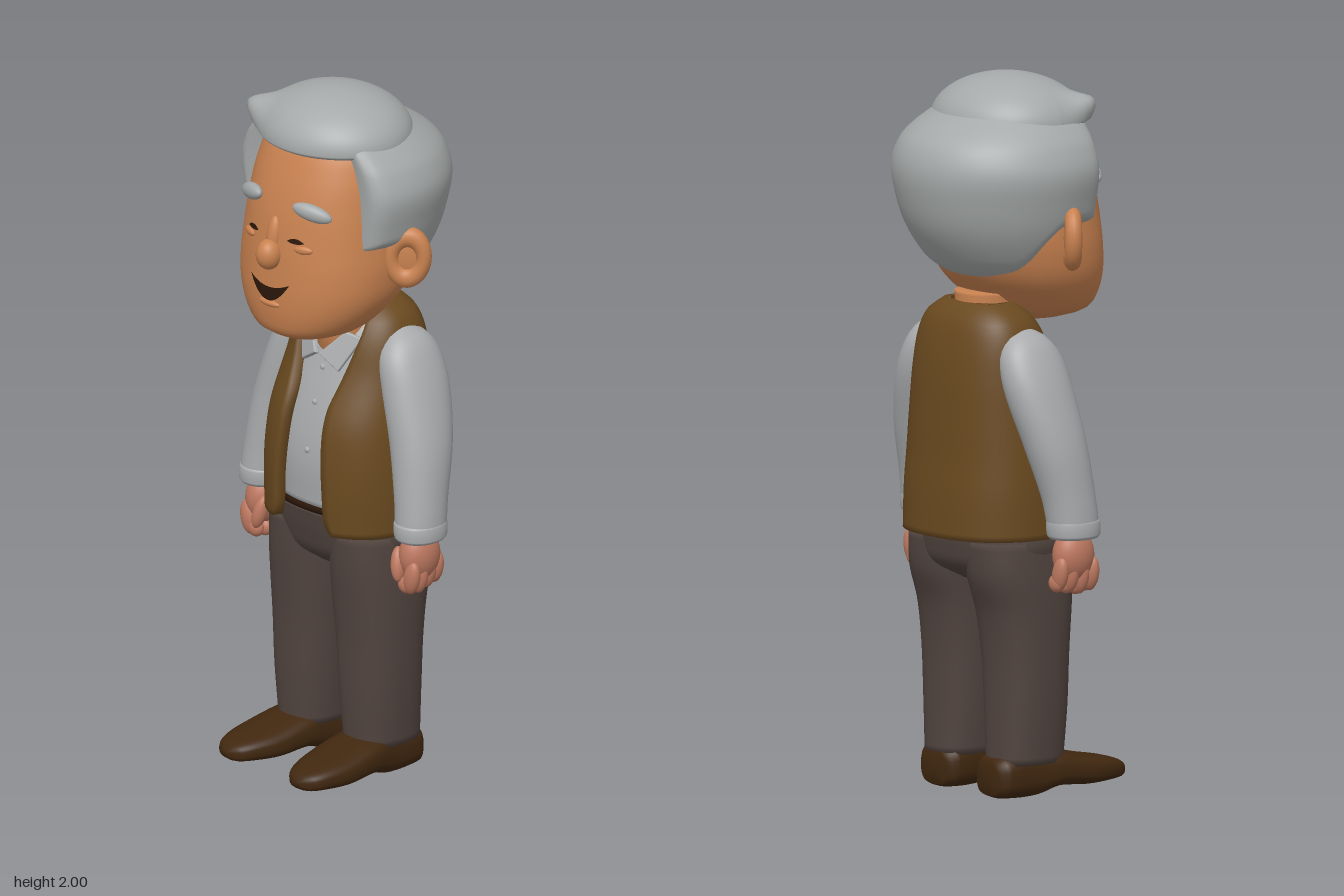
import * as THREE from 'three';

const mat = (name, color, extra = {}) => {
  const m = new THREE.MeshStandardMaterial({ color, ...extra });
  m.name = name;
  return m;
};

// Smooth interpolation of table rows, keyed by their first column
function at(T, y) {
  let i = 0;
  while (i < T.length - 2 && y > T[i + 1][0]) i++;
  const a = T[i], b = T[i + 1], h = b[0] - a[0];
  const t = Math.min(1, Math.max(0, (y - a[0]) / h)), t2 = t * t, t3 = t2 * t;
  const slope = (k, c) => {
    const p = T[Math.max(0, k - 1)], q = T[Math.min(T.length - 1, k + 1)];
    return (q[c] - p[c]) / (q[0] - p[0]);
  };
  return a.map((_, c) => c === 0 ? y : (2 * t3 - 3 * t2 + 1) * a[c] + (3 * t2 - 2 * t3) * b[c]
    + h * ((t3 - 2 * t2 + t) * slope(i, c) + (t3 - t2) * slope(i + 1, c)));
}

// Skin a list of rings; closed rings may be capped at both ends
function skin(rings, closed = true, capped = true) {
  const n = rings[0].length, pos = rings.flat(2), idx = [];
  const m = closed ? n : n - 1;
  for (let i = 0; i < rings.length - 1; i++) {
    for (let j = 0; j < m; j++) {
      const a = i * n + j, b = i * n + (j + 1) % n;
      idx.push(a, b, b + n, a, b + n, a + n);
    }
  }
  if (capped) {
    [0, rings.length - 1].forEach((r, end) => {
      const c = pos.length / 3;
      pos.push(...[0, 1, 2].map(k => rings[r].reduce((s, p) => s + p[k], 0) / n));
      for (let j = 0; j < n; j++) {
        const a = r * n + j, b = r * n + (j + 1) % n;
        idx.push(...(end ? [c, a, b] : [c, b, a]));
      }
    });
  }
  const g = new THREE.BufferGeometry();
  g.setAttribute('position', new THREE.Float32BufferAttribute(pos, 3));
  g.setIndex(idx);
  g.computeVertexNormals();
  return g;
}

const pw = (v, e) => Math.sign(v) * Math.abs(v) ** e;
const range = (n, f) => Array.from({ length: n }, (_, i) => f(i));

// Upright body from rows [y, centreX, halfWidth, frontZ, backZ]
const ringPoint = ([y, cx, rx, zf, zb], a, p, side = 1) =>
  [cx * side + rx * pw(Math.sin(a), 2 / p), y, (zf + zb) / 2 + (zf - zb) / 2 * pw(Math.cos(a), 2 / p)];
function loft(T, p = 2.2, side = 1, n = 48, rows = 32) {
  const y0 = T[0][0], y1 = T[T.length - 1][0];
  return skin(range(rows + 1, i => {
    const s = at(T, y0 + (y1 - y0) * i / rows);
    return range(n, j => ringPoint(s, j / n * Math.PI * 2, p, side));
  }));
}

const HEAD = [[1.31, 0, .07, .2, .04], [1.33, 0, .135, .25, -.02], [1.37, 0, .185, .268, -.07],
  [1.44, 0, .228, .274, -.14], [1.52, 0, .243, .27, -.18], [1.6, 0, .24, .262, -.2],
  [1.7, 0, .23, .245, -.2], [1.8, 0, .215, .213, -.18], [1.88, 0, .185, .17, -.15], [1.94, 0, .1, .1, -.1]];
const SHIRT = [[.785, 0, .205, .125, -.215], [.92, 0, .205, .13, -.215], [1.05, 0, .195, .108, -.21],
  [1.2, 0, .175, .06, -.2], [1.28, 0, .15, .025, -.18], [1.34, 0, .1, -.02, -.15]];
const VEST = [[.73, 0, .245, .165, -.262], [.85, 0, .245, .168, -.258], [.95, 0, .24, .163, -.25],
  [1.05, 0, .23, .145, -.245], [1.18, 0, .212, .09, -.235], [1.28, 0, .195, .055, -.218],
  [1.34, 0, .165, .02, -.195], [1.375, 0, .115, -.02, -.16]];
const OPENING = [[.73, .115], [.76, .097], [.85, .09], [1.08, .076], [1.16, .09], [1.3, .115], [1.375, .1]];
const HAIR = [[1.44, .18, .16], [1.5, .225, .22], [1.58, .265, .275], [1.66, .288, .304],
  [1.75, .302, .316], [1.82, .278, .295], [1.86, .245, .255], [1.9, .2, .19]];
const SHOE = [[-.145, .05, .01, .1], [-.12, .075, 0, .12], [-.01, .08, 0, .13], [.06, .088, .02, .122],
  [.16, .088, .016, .1], [.24, .07, .02, .085], [.285, .045, .025, .07], [.3, .015, .035, .055]];

const frontZ = (T, x, y, p) => {
  const [, , rx, zf, zb] = at(T, y);
  return (zf + zb) / 2 + (zf - zb) / 2 * (1 - Math.min(1, Math.abs(x) / rx) ** p) ** (1 / p);
};
const faceZ = (x, y) => frontZ(HEAD, x, y, 2.2);

// Thin patch hugging the face between two edge curves
function facePatch(cx, half, top, bottom) {
  const g = new THREE.PlaneGeometry(2, 1, 20, 6), P = g.attributes.position;
  for (let i = 0; i < P.count; i++) {
    const u = P.getX(i), v = P.getY(i) + .5, x = cx + u * half;
    const y = bottom(u) + (top(u) - bottom(u)) * v;
    P.setXYZ(i, x, y, faceZ(x, y) + .005);
  }
  g.computeVertexNormals();
  return g;
}

export function createModel() {
  const root = new THREE.Group();
  const skinM = mat('face skin', 0xc98250), handM = mat('hand skin', 0xbd7860);
  const hairM = mat('grey hair', 0xa6a9a9), shirtM = mat('pale shirt', 0xa9abad);
  const vestM = mat('brown vest', 0x69491f), pantsM = mat('dark trousers', 0x51443f);
  const shoeM = mat('shoe leather', 0x40270f), darkM = mat('dark brown', 0x2a1608, { side: THREE.DoubleSide });

  const add = (name, geo, m, pos = [0, 0, 0], rot = [0, 0, 0], parent = root) => {
    const mesh = new THREE.Mesh(geo, m);
    mesh.name = name;
    mesh.position.set(...pos);
    mesh.rotation.set(...rot);
    parent.add(mesh);
    return mesh;
  };
  const blob = (name, m, r, pos, rot) => add(name, new THREE.SphereGeometry(1, 28, 18).scale(...r), m, pos, rot);

  // Head and neck
  add('head', loft(HEAD, 2.2, 1, 64, 48), skinM);
  add('neck', loft([[1.18, 0, .08, .04, -.14], [1.28, 0, .085, .066, -.15], [1.4, 0, .09, .07, -.15]]), skinM);
  blob('nose', skinM, [.036, .044, .038], [0, 1.572, .274]);
  blob('noseBridge', skinM, [.022, .06, .02], [0, 1.62, .255], [-.15, 0, 0]);
  add('mouth', facePatch(0, .075, u => 1.477 + .02 * u * u, u => 1.437 + .06 * u * u), darkM);
  blob('lowerLip', skinM, [.04, .011, .014], [0, 1.428, .27]);

  // Hair around the sides and back, rolled in at its edges
  const maxT = 122 * Math.PI / 180, U = 72, V = 32;
  add('sideAndBackHair', skin(range(V + 1, i => range(U + 1, j => {
    const th = maxT * (1 - 2 * j / U), deg = Math.abs(th) * 180 / Math.PI, v = i / V;
    const k = Math.min(1, Math.max(0, (deg - 55) / 38));
    const low = 1.44 + .15 * k * k * (3 - 2 * k);
    const y = low + (1.9 - low) * v;
    const [, rx, rb] = at(HAIR, y);
    const d = Math.min(1, (122 - deg) / 16, v / .13);
    const s = .74 + .26 * Math.sqrt(1 - (1 - d) ** 2);
    const c = Math.cos(th);
    return [rx * Math.sin(th) * s, y, -(c > 0 ? rb : .3) * c * s];
  })), false, false), hairM);

  // Swept top hair with a small flick on the right
  const top = new THREE.SphereGeometry(1, 64, 40), P = top.attributes.position;
  for (let i = 0; i < P.count; i++) {
    const y = P.getY(i);
    const p = [P.getX(i) * .225, 1.87 + y * (y > 0 ? .13 : .035), .015 + P.getZ(i) * .205];
    const w = Math.exp(-((p[0] + .175) ** 2 + (p[1] - 1.9) ** 2 + (p[2] - .12) ** 2) / .0022);
    P.setXYZ(i, p[0] - .036 * w, p[1] + .03 * w, p[2] + .022 * w);
  }
  top.computeVertexNormals();
  add('topHair', top, hairM);

  // Shirt body, belt and hips
  add('shirt', loft(SHIRT, 2.4), shirtM);
  for (const y of [1.18, 1.085, .95]) blob('shirtButton', shirtM, [.009, .009, .006], [0, y, frontZ(SHIRT, 0, y, 2.4)]);
  add('belt', loft([[.772, 0, .214, .136, -.22], [.79, 0, .214, .136, -.22]], 2.4, 1, 48, 1), darkM);
  add('hips', loft([[.6, 0, .1, .05, -.13], [.64, 0, .2, .1, -.195], [.7, 0, .235, .122, -.216],
    [.775, 0, .222, .138, -.222]], 2.4), pantsM);

  // Open vest with thickness
  const M = 64, R = 40;
  add('vest', skin(range(R + 3, r => {
    const i = Math.min(R, Math.max(0, r - 1)), y = .73 + .645 * i / R;
    const s = at(VEST, y), open = at(OPENING, y)[1];
    const a0 = Math.asin(Math.min(.95, (open / s[2]) ** 1.2));
    const edge = r === 0 || r === R + 2;
    const layer = inset => range(M + 1, j =>
      ringPoint([y, 0, s[2] - inset, s[3] - inset, s[4] + inset], a0 + (2 * Math.PI - 2 * a0) * j / M, 2.4));
    return [...layer(edge ? .014 : 0), ...layer(edge ? .015 : .028).reverse()];
  }), true, false), vestM);

  for (const s of [1, -1]) {
    const side = s > 0 ? 'left' : 'right';
    // Face details
    blob(side + 'Eyebrow', hairM, [.06, .024, .02], [s * .118, 1.712, faceZ(.118, 1.712) + .006], [0, s * .4, -s * .22]);
    add(side + 'Eye', facePatch(s * .082, .026, u => 1.633 - .01 * u * u, u => 1.618 + .005 * u * u), darkM);
    blob(side + 'EyePouch', skinM, [.028, .012, .009], [s * .105, 1.603, faceZ(.105, 1.603)], [0, s * .4, 0]);

    // Ear: rim around a shallow bowl
    const ear = new THREE.Group();
    ear.name = side + 'Ear';
    ear.position.set(s * .277, 1.568, .01);
    ear.rotation.set(0, s * .65, -s * .12);
    root.add(ear);
    add('earRim', new THREE.TorusGeometry(.045, .022, 14, 36).scale(1, 1.35, 1.1), skinM, [0, 0, 0], [0, 0, 0], ear);
    add('earBowl', new THREE.SphereGeometry(1, 24, 16).scale(.052, .07, .018), skinM, [0, 0, -.006], [0, 0, 0], ear);

    // Collar flap
    const flap = new THREE.Shape([[.008, -.025], [.07, -.055], [.118, .045], [.07, .05]].map(q => new THREE.Vector2(s * q[0], q[1])));
    add(side + 'Collar', new THREE.ExtrudeGeometry(flap, { depth: .008, bevelSize: .004, bevelThickness: .004, bevelSegments: 2 }),
      shirtM, [0, 1.25, .075], [-.3, s * .35, 0]);

    // Sleeve and cuff
    add(side + 'Sleeve', loft([[.745, .306, .058, .055, -.078], [.76, .306, .064, .062, -.085], [.85, .297, .068, .056, -.1],
      [1, .27, .077, .045, -.142], [1.15, .225, .078, .035, -.175], [1.24, .195, .068, .02, -.17],
      [1.29, .178, .048, -.015, -.14], [1.312, .168, .015, -.05, -.1]], 2.1, s), shirtM);
    add(side + 'Cuff', loft([[.74, .306, .061, .059, -.082], [.748, .306, .067, .065, -.088],
      [.785, .304, .067, .065, -.09], [.795, .303, .06, .056, -.084]], 2.1, s), shirtM);

    // Relaxed hand
    blob(side + 'Palm', handM, [.05, .075, .064], [s * .303, .69, -.01]);
    range(4, k => blob(side + 'Finger', handM, [.026, .05, .02], [s * (.322 - .004 * k), .63 + .006 * Math.abs(k - 1), .038 - .034 * k], [0, 0, -s * .2]));
    range(4, k => blob(side + 'FingerTip', handM, [.026, .026, .019], [s * .297, .604 + .006 * Math.abs(k - 1), .036 - .034 * k]));
    blob(side + 'Thumb', handM, [.02, .05, .022], [s * .272, .665, .042], [-.2, 0, s * .2]);

    // Trouser leg
    add(side + 'TrouserLeg', loft([[.095, .128, .088, .075, -.145], [.25, .127, .1, .085, -.145], [.4, .125, .108, .09, -.15],
      [.52, .122, .114, .1, -.167], [.62, .12, .116, .11, -.2], [.72, .115, .115, .115, -.21]], 2.4, s), pantsM);

    // Shoe, skinned from heel to toe
    add(side + 'Shoe', skin(range(41, i => {
      const [z, w, y0, y1] = at(SHOE, -.145 + .445 * i / 40);
      return range(32, j => {
        const a = j / 32 * Math.PI * 2;
        return [w * pw(Math.cos(a), .7), (y0 + y1) / 2 + (y1 - y0) / 2 * pw(Math.sin(a), .7), z];
      });
    })), shoeM, [s * .13, 0, s > 0 ? 0 : -.015], [0, s > 0 ? .02 : -.12, 0]);
  }
  return root;
}
